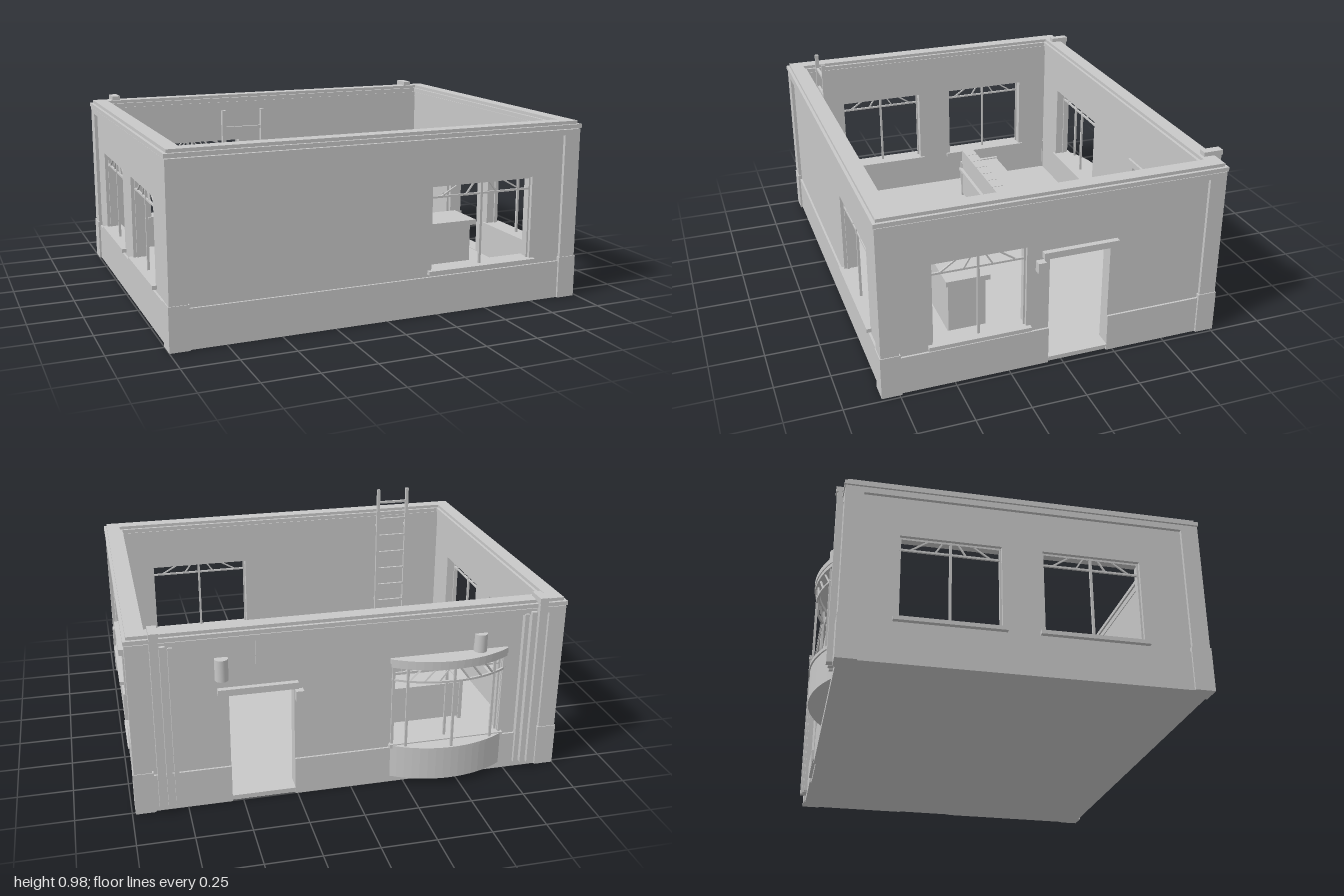
import * as THREE from 'three';

const stone = new THREE.MeshStandardMaterial({ color: 0xc8c8c8 });
stone.name = 'plain grey';

// Outer wall planes and wall thickness
const X0 = -0.98, X1 = 0.965, Z0 = -0.745, Z1 = 0.81, T = 0.065, FLOOR = 0.03, TOP = 0.835;

function add(parent, name, geometry) {
  const m = new THREE.Mesh(geometry, stone);
  m.name = name;
  parent.add(m);
  return m;
}

// Box given by its limits on each axis
function box(parent, name, x0, x1, y0, y1, z0, z1) {
  const m = add(parent, name, new THREE.BoxGeometry(x1 - x0, y1 - y0, z1 - z0));
  m.position.set((x0 + x1) / 2, (y0 + y1) / 2, (z0 + z1) / 2);
}

// Square bar between two points, in the parent's own frame
function bar(parent, name, a, b, w = 0.009) {
  const p = new THREE.Vector3(...a), d = new THREE.Vector3(...b).sub(p);
  const m = add(parent, name, new THREE.BoxGeometry(w, d.length(), w));
  m.position.copy(p).addScaledVector(d, 0.5);
  m.quaternion.setFromUnitVectors(new THREE.Vector3(0, 1, 0), d.normalize());
}

function rect(path, x0, x1, y0, y1) {
  return path.moveTo(x0, y0).lineTo(x1, y0).lineTo(x1, y1).lineTo(x0, y1).closePath();
}

// Plan shape (x, z) raised between two heights
function slab(parent, name, shape, y0, y1) {
  const g = new THREE.ExtrudeGeometry(shape, { depth: y1 - y0, bevelEnabled: false });
  add(parent, name, g.rotateX(Math.PI / 2).translate(0, y1, 0));
}

// Rectangular band running round the top of the walls
function ring(parent, name, out, inn, y0, y1) {
  const s = rect(new THREE.Shape(), X0 - out, X1 + out, Z0 - out, Z1 + out);
  s.holes.push(rect(new THREE.Path(), X0 + inn, X1 - inn, Z0 + inn, Z1 - inn));
  slab(parent, name, s, y0, y1);
}

// Wall with openings [x0, x1, y0, y1]; local z = 0 is the outer face
function wall(parent, name, x0, x1, openings, angle, px, pz) {
  const g = new THREE.Group();
  g.name = name;
  const s = rect(new THREE.Shape(), x0, x1, 0, TOP);
  for (const o of openings) s.holes.push(rect(new THREE.Path(), ...o));
  const geo = new THREE.ExtrudeGeometry(s, { depth: T, bevelEnabled: false });
  add(g, name + 'Surface', geo.translate(0, 0, -T));
  // plinth course, interrupted by doorways
  let start = x0;
  for (const d of openings.filter(o => o[2] < 0.1)) {
    box(g, 'plinth', start, d[0], 0, 0.18, -0.005, 0.01);
    start = d[1];
  }
  box(g, 'plinth', start, x1, 0, 0.18, -0.005, 0.01);
  g.rotation.y = angle;
  g.position.set(px, 0, pz);
  parent.add(g);
  return g;
}

// Window joinery: frame, mullion, transom with fanned bars, and a sill through the wall
function windowUnit(parent, x0, x1, y0 = 0.21, y1 = 0.6) {
  const c = (x0 + x1) / 2, z = -0.02, yt = 0.542, w = x1 - x0;
  bar(parent, 'mullion', [c, y0, z], [c, y1, z], 0.011);
  for (const y of [y1 - 0.005, yt]) bar(parent, 'transomBar', [x0, y, z], [x1, y, z]);
  for (const x of [x0 + 0.004, x1 - 0.004]) bar(parent, 'windowJamb', [x, y0, z], [x, y1, z], 0.008);
  for (const s of [-1, 1])
    for (const k of [0.07, 0.2])
      bar(parent, 'fanBar', [c + s * w * k, y1, z], [c + s * w * (k * 1.9 + 0.02), yt, z], 0.007);
  box(parent, 'windowSill', x0 - 0.02, x1 + 0.02, y0 - 0.018, y0, -T - 0.012, 0.022);
}

// Doorway trim: lintels on both faces, threshold and a small box beside the door
function doorway(parent, x0, x1, hood0, hood1, boxX) {
  box(parent, 'doorHood', hood0, hood1, 0.54, 0.57, -0.004, 0.026);
  box(parent, 'innerLintel', x0 - 0.03, x1 + 0.03, 0.54, 0.57, -T - 0.012, -T + 0.004);
  box(parent, 'threshold', x0, x1, 0.024, FLOOR + 0.003, -T, 0.016);
  box(parent, 'entryBox', boxX - 0.018, boxX + 0.018, 0.48, 0.53, 0, 0.034);
}

// Bow window on the back
function bowWindow(parent) {
  const cx = -0.455, R = 0.513, cz = -0.322, A = 0.566, n = 16;
  const at = (a, r) => [cx + Math.sin(a) * r, cz - Math.cos(a) * r];
  // plan of the bow: a solid back to the wall, or a thin arc when an inner radius is given
  const plan = (r, inner) => {
    const pts = [];
    for (let i = 0; i <= n; i++) pts.push(at(-A + 2 * A * i / n, r));
    if (inner) for (let i = n; i >= 0; i--) pts.push(at(-A + 2 * A * i / n, inner));
    else pts.push([pts[n][0], Z0], [pts[0][0], Z0]);
    return new THREE.Shape(pts.map(p => new THREE.Vector2(...p)));
  };
  const g = new THREE.Group();
  g.name = 'bowWindow';
  slab(g, 'bowBase', plan(R - 0.003), FLOOR, 0.18);
  slab(g, 'bowSill', plan(R + 0.004), 0.18, 0.195);
  slab(g, 'bowTransom', plan(R - 0.006, R - 0.016), 0.52, 0.53);
  slab(g, 'bowHeadBand', plan(R, R - 0.02), 0.588, 0.605);
  slab(g, 'bowRoof', plan(R + 0.004), 0.605, 0.63);
  const r = R - 0.011;
  for (const a of [-0.55, -0.42, 0, 0.42, 0.55]) {
    const [x, z] = at(a, r);
    bar(g, 'bowMullion', [x, 0.195, z], [x, 0.59, z], 0.011);
  }
  for (const s of [-1, 1])
    for (const [a, b] of [[0.05, 0.14], [0.17, 0.27], [0.3, 0.4]]) {
      const p = at(s * a, r), q = at(s * b, r);
      bar(g, 'bowFanBar', [p[0], 0.59, p[1]], [q[0], 0.527, q[1]], 0.007);
    }
  parent.add(g);
}

export function createModel() {
  const model = new THREE.Group();
  model.name = 'roomBuilding';

  box(model, 'floor', X0 + 0.01, X1 - 0.01, 0, FLOOR, Z0 + 0.01, Z1 - 0.01);

  // Walls
  const front = wall(model, 'frontWall', X0, X1, [[0.22, 0.74, 0.21, 0.6]], 0, 0, Z1);
  windowUnit(front, 0.22, 0.74);
  const side = wall(model, 'leftWall', -Z1 + T, -Z0 - T,
    [[-0.595, -0.17, 0.21, 0.6], [-0.065, 0.22, FLOOR, 0.55]], Math.PI / 2, X1, 0);
  windowUnit(side, -0.595, -0.17);
  doorway(side, -0.065, 0.22, -0.1, 0.25, -0.112);
  const far = wall(model, 'rightWall', Z0 + T, Z1 - T,
    [[-0.52, -0.08, 0.21, 0.6], [0.1, 0.54, 0.21, 0.6]], -Math.PI / 2, X0, 0);
  windowUnit(far, -0.52, -0.08);
  windowUnit(far, 0.1, 0.54);
  const back = wall(model, 'backWall', -X1, -X0,
    [[-0.55, -0.26, FLOOR, 0.55], [0.2, 0.71, 0.2, 0.6]], Math.PI, 0, Z0);
  doorway(back, -0.55, -0.26, -0.6, -0.245, -0.24);
  windowUnit(back, 0.2, 0.71, 0.2);
  box(back, 'fasciaPanel', -0.43, 0.79, 0.67, 0.788, -0.004, 0.012);
  bowWindow(model);

  // Cornice and coping
  ring(model, 'frieze', 0.016, T + 0.004, 0.785, 0.812);
  ring(model, 'cornice', 0.02, T + 0.01, 0.816, 0.835);
  ring(model, 'coping', 0.006, T - 0.004, 0.835, 0.85);

  // Corner pilasters on taller blocks
  for (const sx of [0, 1])
    for (const sz of [0, 1]) {
      const corner = (name, out, size, y0, y1) => {
        const x = sx ? X1 + out - size : X0 - out, z = sz ? Z1 + out - size : Z0 - out;
        box(model, name, x, x + size, y0, y1, z, z + size);
      };
      corner('cornerBlock', 0.02, 0.09, 0, 0.2);
      corner('cornerPilaster', 0.016, 0.08, 0.2, 0.79);
    }

  // Stepped piers and wall lamps on the back
  for (const s of [-1, 1]) {
    const pier = (name, a, b, y0, y1, z0, z1) => {
      const p = s * a - 0.006, q = s * b - 0.006;
      box(model, name, Math.min(p, q), Math.max(p, q), y0, y1, z0, z1);
    };
    pier('pier', 0.85, 0.885, FLOOR, 0.85, -0.788, Z0);
    pier('pierCap', 0.846, 0.886, 0.845, 0.87, -0.793, -0.7);
    pier('outerPier', 0.82, 0.845, FLOOR, 0.8, -0.778, Z0);
    pier('innerPier', 0.79, 0.81, FLOOR, 0.79, -0.771, Z0);
  }
  for (const x of [-0.595, 0.58]) {
    const lamp = add(model, 'wallLamp', new THREE.CylinderGeometry(0.03, 0.03, 0.1, 16));
    lamp.position.set(x, 0.665, Z0 - 0.012);
  }

  // Door leaves folded back against the inner walls
  box(model, 'sideDoorLeaf', 0.885, 0.897, FLOOR, 0.53, -0.51, -0.235);
  box(model, 'sideDoorKnob', 0.875, 0.886, 0.27, 0.285, -0.285, -0.27);
  box(model, 'backDoorLeaf', 0.56, 0.79, FLOOR, 0.525, -0.672, -0.66);

  // Table
  box(model, 'tableTop', 0.04, 0.67, 0.29, 0.315, 0.23, 0.44);
  box(model, 'tableBody', 0.06, 0.645, FLOOR, 0.29, 0.245, 0.425);

  // Counter with a row of raised compartments
  box(model, 'counterBody', -0.7, -0.07, 0.045, 0.235, -0.295, -0.085);
  for (const x of [-0.71, -0.08]) box(model, 'counterEnd', x, x + 0.018, FLOOR, 0.24, -0.3, -0.08);
  for (let i = 0; i < 7; i++) {
    const x = -0.69 + i * 0.087;
    box(model, 'compartment', x, x + 0.084, 0.235, 0.32, -0.145, -0.082);
  }
  box(model, 'counterRail', -0.7, -0.07, 0.19, 0.205, -0.085, -0.068);

  // Ladder standing against the front parapet
  for (const x of [-0.712, -0.545]) {
    box(model, 'ladderRail', x - 0.008, x + 0.008, FLOOR, 0.975, 0.7, 0.718);
    for (const y of [0.3, 0.75]) box(model, 'ladderBracket', x - 0.005, x + 0.005, y, y + 0.012, 0.71, 0.75);
  }
  for (let y = 0.1; y < 0.95; y += 0.1)
    box(model, 'ladderRung', -0.712, -0.545, y - 0.006, y + 0.006, 0.703, 0.715);

  return model;
}
